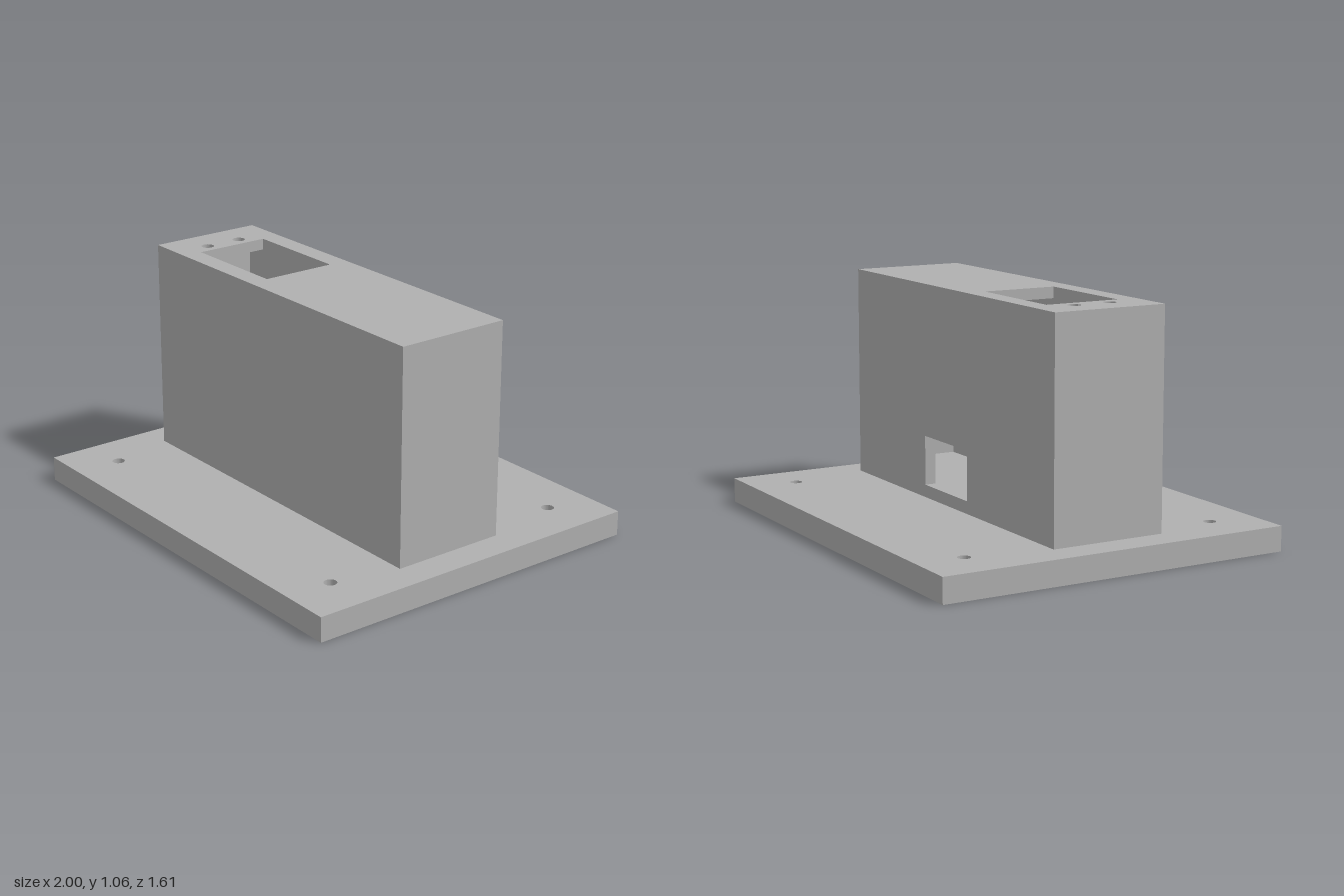
import * as THREE from 'three';

const T = 0.05; // wall thickness of the hollow housing
const BASE_H = 0.11, TOP = 1.06;
const X = 0.86, Z0 = -0.225, Z1 = 0.295; // housing footprint

// Rectangle outline between two corners
function rect(x0, y0, x1, y1, Kind = THREE.Shape) {
  const s = new Kind();
  s.moveTo(x0, y0);
  s.lineTo(x1, y0);
  s.lineTo(x1, y1);
  s.lineTo(x0, y1);
  s.closePath();
  return s;
}

function roundHole(x, y, r) {
  const p = new THREE.Path();
  p.absarc(x, y, r, 0, Math.PI * 2, true);
  return p;
}

function extrude(shape, depth) {
  return new THREE.ExtrudeGeometry(shape, { depth, bevelEnabled: false, curveSegments: 16 });
}

// Horizontal slab: the shape is drawn in (x, -z) and raised from y
function slab(shape, y, height) {
  return extrude(shape, height).rotateX(-Math.PI / 2).translate(0, y, 0);
}

export function createModel() {
  const group = new THREE.Group();
  const grey = new THREE.MeshStandardMaterial({ color: 0xb0b0b0 });
  grey.name = 'plain grey';

  const add = (name, geometry) => {
    const mesh = new THREE.Mesh(geometry, grey);
    mesh.name = name;
    group.add(mesh);
  };
  const box = (name, x0, y0, z0, x1, y1, z1) => add(name,
    new THREE.BoxGeometry(x1 - x0, y1 - y0, z1 - z0)
      .translate((x0 + x1) / 2, (y0 + y1) / 2, (z0 + z1) / 2));

  // Mounting plate with a screw hole near each corner
  const plate = rect(-1, -0.805, 1, 0.805);
  for (const sx of [-1, 1]) {
    for (const sz of [-1, 1]) plate.holes.push(roundHole(sx * 0.785, sz * 0.592, 0.028));
  }
  add('mountingPlate', slab(plate, 0, BASE_H));

  // Housing floor and walls
  box('housingFloor', -X + T, BASE_H, Z0 + T, X - T, BASE_H + T, Z1 - T);
  box('frontWall', -X, BASE_H, Z1 - T, X, TOP - T, Z1);
  box('leftWall', X - T, BASE_H, Z0 + T, X, TOP - T, Z1 - T);
  box('rightWall', -X, BASE_H, Z0 + T, -X + T, TOP - T, Z1 - T);

  // Back wall with a cable window
  const back = rect(-X, BASE_H, X, TOP - T);
  back.holes.push(rect(-0.16, 0.166, 0.216, 0.386, THREE.Path));
  add('backWall', extrude(back, T).translate(0, 0, Z0));

  // Lid with a rectangular opening and two small round holes
  const lid = rect(-X, -Z1, X, -Z0);
  lid.holes.push(rect(-0.65, -0.205, -0.155, 0.135, THREE.Path));
  for (const z of [-0.042, 0.128]) lid.holes.push(roundHole(-0.71, -z, 0.028));
  add('lid', slab(lid, TOP - T, T));

  return group;
}
